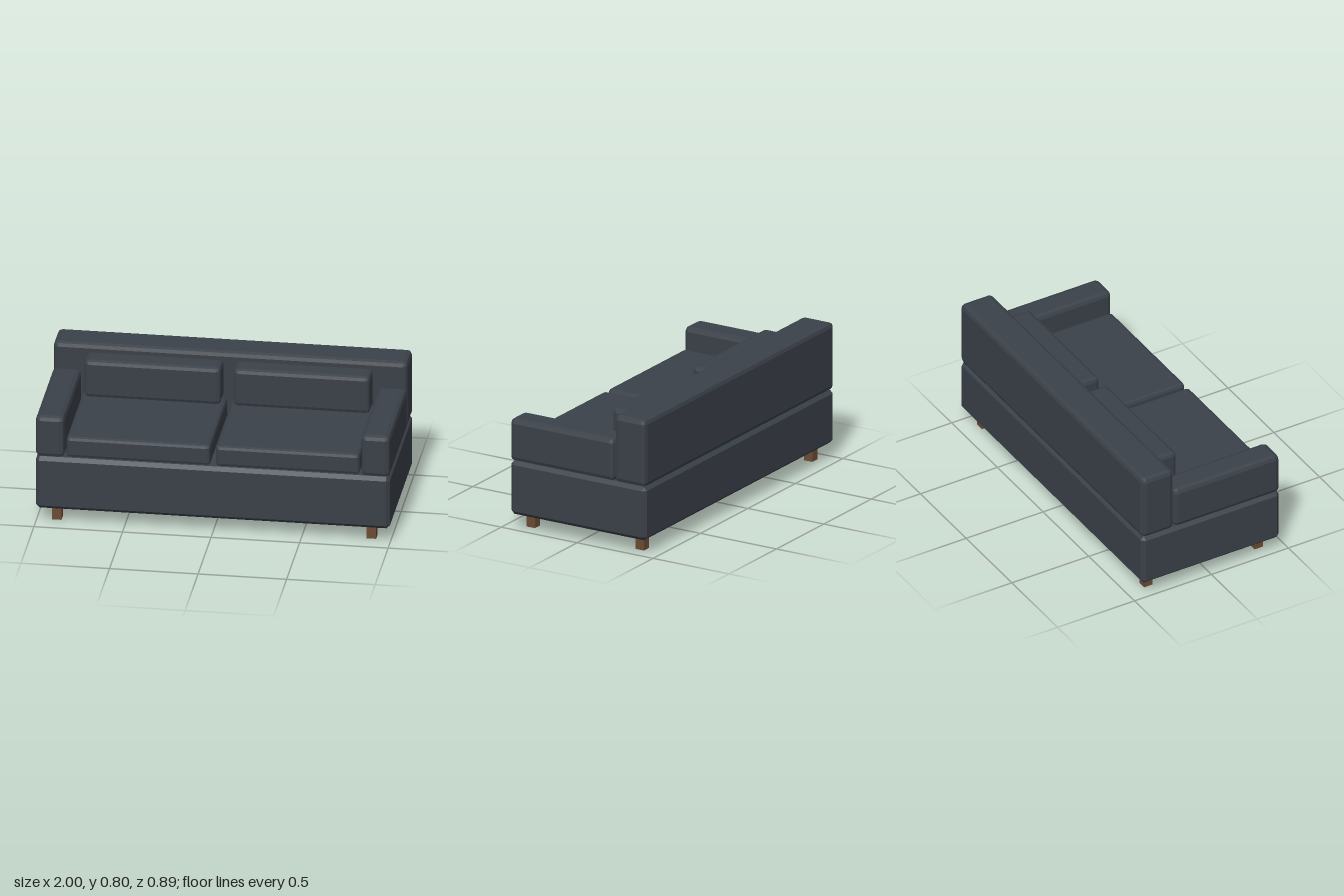
import * as THREE from 'three';
import { ConvexGeometry } from 'three/addons/geometries/ConvexGeometry.js';

// Box with bevelled edges, given its min and max corners.
// Round bevels have two facets per edge, plain ones a single chamfer.
function bevelledBox(min, max, r, round) {
  const dirs = [[1, 0, 0], [0, 1, 0], [0, 0, 1]];
  if (round) {
    const e = Math.SQRT1_2, c = 1 / Math.sqrt(3);
    dirs.push([e, e, 0], [e, 0, e], [0, e, e], [c, c, c]);
  }
  const points = [];
  for (const sx of [-1, 1]) for (const sy of [-1, 1]) for (const sz of [-1, 1]) {
    const s = [sx, sy, sz];
    for (const d of dirs) {
      points.push(new THREE.Vector3(...s.map((k, i) =>
        (k > 0 ? max[i] - r : min[i] + r) + k * r * d[i])));
    }
  }
  return new ConvexGeometry(points);
}

export function createModel() {
  const sofa = new THREE.Group();
  sofa.name = 'sofa';
  const fabric = new THREE.MeshStandardMaterial({ color: 0x3b4149 });
  fabric.name = 'charcoal fabric';
  const wood = new THREE.MeshStandardMaterial({ color: 0x6b4b34 });
  wood.name = 'brown wood';

  const add = (name, geometry, material) => {
    const mesh = new THREE.Mesh(geometry, material);
    mesh.name = name;
    sofa.add(mesh);
    return mesh;
  };
  const pad = (name, min, max, r, round = true) =>
    add(name, bevelledBox(min, max, r, round), fabric);

  // Base and backrest
  pad('base', [-1, 0.087, -0.447], [1, 0.403, 0.447], 0.021, false);
  pad('backrest', [-1, 0.403, -0.447], [1, 0.8, -0.242], 0.027);

  // Parts repeated on both sides
  for (const [side, s] of [['left', 1], ['right', -1]]) {
    const sidePad = (name, x0, x1, y0, y1, z0, z1, r) =>
      pad(side + name, [Math.min(s * x0, s * x1), y0, z0], [Math.max(s * x0, s * x1), y1, z1], r);

    sidePad('Armrest', 0.838, 1, 0.403, 0.653, -0.24, 0.447, 0.027);
    sidePad('SeatCushion', 0.015, 0.828, 0.405, 0.53, -0.245, 0.435, 0.02);
    sidePad('BackCushion', 0.036, 0.806, 0.532, 0.758, -0.25, -0.107, 0.024);

    // Square legs
    for (const [end, z] of [['Front', 0.359], ['Back', -0.359]]) {
      const leg = add(side + end + 'Leg', new THREE.BoxGeometry(0.054, 0.095, 0.054), wood);
      leg.position.set(s * 0.888, 0.0475, z);
    }
  }
  return sofa;
}
